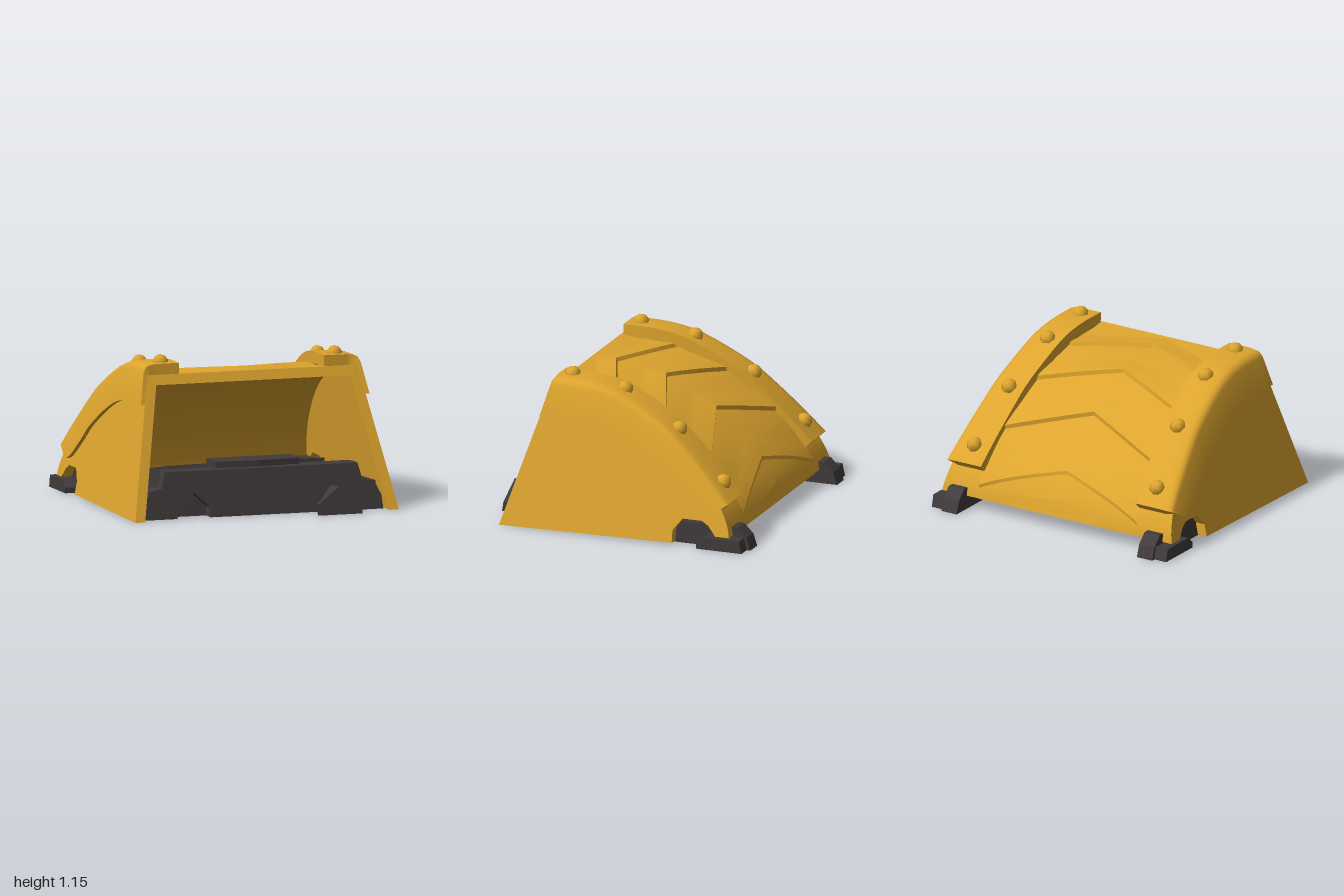
import * as THREE from 'three';
import { toCreasedNormals } from 'three/addons/utils/BufferGeometryUtils.js';

export function createModel() {
  const model = new THREE.Group();
  model.name = 'armouredCanopy';
  const yellow = new THREE.MeshStandardMaterial({ color: 0xdea52e });
  yellow.name = 'yellowPaint';
  const yellowThin = new THREE.MeshStandardMaterial({ color: 0xdea52e, side: THREE.DoubleSide });
  yellowThin.name = 'yellowPaint';
  const dark = new THREE.MeshStandardMaterial({ color: 0x413b3c });
  dark.name = 'darkMetal';

  const add = (name, geo, mat, parent = model) => {
    const m = new THREE.Mesh(geo, mat);
    m.name = name;
    parent.add(m);
    return m;
  };
  const shapeOf = pts => new THREE.Shape(pts.map(p => new THREE.Vector2(p[0], p[1])));
  const extrude = (pts, depth) => new THREE.ExtrudeGeometry(shapeOf(pts), { depth, bevelEnabled: false });
  const warp = (geo, rule) => {
    const p = geo.attributes.position, v = new THREE.Vector3();
    for (let i = 0; i < p.count; i++) {
      rule(v.fromBufferAttribute(p, i));
      p.setXYZ(i, v.x, v.y, v.z);
    }
    return toCreasedNormals(geo, 0.5);
  };
  // (z, y) outline extruded along x from 0 to depth
  const sideExtrude = (pts, depth) => extrude(pts.map(p => [-p[0], p[1]]), depth).rotateY(Math.PI / 2);
  const spline = (pts, n) =>
    new THREE.SplineCurve(pts.map(p => new THREE.Vector2(p[0], p[1]))).getPoints(n);
  // height and outward normal of a (z, y) polyline at a given z
  const sample = (line, z) => {
    let i = 0;
    while (i < line.length - 2 && line[i + 1].x > z) i++;
    const a = line[i], b = line[i + 1], t = (a.x - z) / (a.x - b.x);
    const n = new THREE.Vector2(b.y - a.y, a.x - b.x).normalize();
    return { y: a.y + (b.y - a.y) * t, nz: -n.x * -1, ny: n.y };
  };
  // grid surface through rows of points; optionally a closed tube with paired end caps
  const loft = (rows, crease, closed = false, flip = false) => {
    const n = rows[0].length, idx = [];
    const quad = (a, b, c, d) => flip ? idx.push(a, c, b, a, d, c) : idx.push(a, b, c, a, c, d);
    for (let i = 0; i < rows.length - 1; i++)
      for (let j = 0; j < (closed ? n : n - 1); j++) {
        const k = (j + 1) % n;
        quad(i * n + j, i * n + k, (i + 1) * n + k, (i + 1) * n + j);
      }
    if (closed) {
      const e = (rows.length - 1) * n;
      for (let k = 0; k < n / 2 - 1; k++) {
        quad(k, n - 1 - k, n - 2 - k, k + 1);
        quad(e + k, e + k + 1, e + n - 2 - k, e + n - 1 - k);
      }
    }
    const g = new THREE.BufferGeometry();
    g.setAttribute('position', new THREE.Float32BufferAttribute(rows.flat(2), 3));
    g.setIndex(idx);
    return toCreasedNormals(g, crease);
  };

  // Roof slab, narrowing with height
  const roofLine = spline([[0.58, 1.013], [0.4, 0.99], [0.2, 0.965], [0, 0.918], [-0.2, 0.828], [-0.4, 0.698],
    [-0.6, 0.53], [-0.72, 0.395], [-0.8, 0.28], [-0.85, 0.17], [-0.865, 0.1]], 40);
  const outer = roofLine.map(p => [p.x, p.y]);
  const inner = outer.map(([z, y]) => {
    const s = sample(roofLine, z);
    return z > 0.5 ? [z + 0.025, y - 0.07] : [z - s.nz * 0.06, y - s.ny * 0.06];
  }).reverse();
  add('roof', warp(sideExtrude([...outer, ...inner], 2), v => {
    v.x = (v.x - 1) * (0.96 - 0.2 * v.y);
  }), yellow);

  // Chevron ridges: shallow ramps that end in a sharp step toward the back
  const innerX = z => 0.55 + 0.11 * ((0.56 - z) / 1.41) ** 2;
  const ridge = [[0.575, 0.575, 0], [0.55, 0.33, 0], [0.4, 0.17, 1], [0.385, 0.155, 0], [0.17, -0.05, 0],
    [0.02, -0.21, 1], [0.005, -0.225, 0], [-0.21, -0.39, 0], [-0.36, -0.57, 1], [-0.374, -0.584, 0],
    [-0.58, -0.78, 0], [-0.715, -0.84, 0.5], [-0.73, -0.848, 0], [-0.865, -0.865, 0]];
  const rows = [];
  for (let r = 0; r < ridge.length - 1; r++)
    for (let s = 0; s < 4; s++)
      rows.push(ridge[r].map((v, k) => v + (ridge[r + 1][k] - v) * s / 4));
  rows.push(ridge[ridge.length - 1]);
  add('chevronRidges', loft(rows.map(([apex, side, h]) => {
    const row = [];
    for (let j = -8; j <= 8; j++) {
      const z = apex + (side - apex) * Math.abs(j) / 8, s = sample(roofLine, z), o = 0.004 + 0.026 * h;
      row.push([(innerX(z) + 0.015) * j / 8, s.y + s.ny * o, z + s.nz * o]);
    }
    return row;
  }), 0.17), yellowThin);

  // Side walls, leaning inward, with a notch above the rear foot
  const wall = [[0.9, 0], ...outer, [-0.76, 0.1], [-0.7, 0.17], [-0.65, 0.2], [-0.5, 0.2], [-0.43, 0.11], [-0.43, 0.02]];
  for (const side of [1, -1])
    add(side > 0 ? 'leftWall' : 'rightWall', warp(sideExtrude(wall, 0.075), v => {
      v.x = side > 0 ? 0.925 + v.x - 0.2 * v.y : -1 + v.x + 0.2 * v.y;
    }), yellow);

  // Curved edge bands wrapping from the roof onto the walls
  const top = spline([[0.56, 1.09], [0.3, 1.085], [0.05, 1.03], [-0.3, 0.85], [-0.5, 0.69], [-0.7, 0.5], [-0.85, 0.34]], 24);
  const low = spline([[0.64, 0.81], [0.25, 0.79], [0, 0.715], [-0.3, 0.54], [-0.45, 0.4], [-0.6, 0.275], [-0.69, 0.245]], 24);
  const bandRing = (p, q, side) => {
    const s = sample(top, p.x - 1e-4), xi = innerX(p.x);
    const at = (t, inset, sink) => {
      const z = p.x + (q.x - p.x) * t - s.nz * sink, y = p.y + (q.y - p.y) * t - s.ny * sink;
      return [1.03 - 0.2 * y - inset, y, z];
    };
    const edge = sink => [xi, p.y - s.ny * sink, p.x - s.nz * sink];
    return [edge(0), at(0, 0.09, 0), at(0, 0.04, 0.008), at(0.07, 0.012, 0), at(0.2, 0, 0), at(1, 0, 0),
      at(1, 0.045, 0), at(0.25, 0.045, 0.03), at(0.15, 0.06, 0.045), at(0, 0.08, 0.08), at(0, 0.11, 0.09), edge(0.09)]
      .map(([x, y, z]) => [x * side, y, z]);
  };
  for (const side of [1, -1]) {
    const name = side > 0 ? 'left' : 'right';
    add(name + 'Band', loft(top.map((p, i) => bandRing(p, low[i], side)), 0.9, true, side < 0), yellow);
    // Domed rivets
    for (const [x, z] of [[0.66, 0.465], [0.675, 0.055], [0.72, -0.38], [0.78, -0.745]]) {
      const s = sample(top, z);
      add(name + 'Rivet', new THREE.SphereGeometry(0.06, 7, 5), yellow).position.set(side * x, s.y - s.ny * 0.005, z);
    }
    // Rear rails, feet and floor flanks
    const block = (label, a, b, pts) =>
      add(name + label, sideExtrude(pts, b - a).translate(side > 0 ? a : -b, 0, 0), dark);
    block('RearRail', 0.77, 0.9, [[-0.3, 0], [-0.3, 0.16], [-0.9, 0.16], [-0.97, 0.09], [-1, 0]]);
    block('RearFoot', 0.9, 1, [[-0.62, 0], [-0.62, 0.04], [-0.68, 0.09], [-0.95, 0.09], [-0.97, 0]]);
    block('FloorFlank', 0.72, 0.87, [[0.76, 0], [0.76, 0.2], [-0.3, 0.16], [-0.36, 0]]);
  }

  // Floor: slanted front sill with a notch, sloped deck and raised centre
  const half = [[0.91, 0], [0.9, 0.1], [0.85, 0.2], [0.76, 0.22], [0.73, 0.335]];
  const sill = [...half, ...half.map(([x, y]) => [-x, y]).reverse(),
    [-0.65, 0], [-0.65, 0.07], [-0.52, 0.18], [-0.4, 0.07], [-0.4, 0]];
  add('frontSill', warp(extrude(sill, 0.1), v => { v.z += 0.72 - 0.14 * v.y; }), dark);
  add('floorDeck', sideExtrude([[0.72, 0], [0.68, 0.33], [0.6, 0.33], [-0.36, 0.15], [-0.36, 0]], 1.46)
    .translate(-0.73, 0, 0), dark);
  add('centreBlock', extrude([[-0.32, -0.69], [0, -0.72], [0.32, -0.69], [0.32, -0.5], [-0.32, -0.5]], 0.13)
    .rotateX(-Math.PI / 2).translate(0, 0.25, 0), dark);
  const ribs = new THREE.Group();
  ribs.name = 'floorRibs';
  ribs.position.set(0, 0.33, 0.6);
  ribs.rotation.x = -0.185;
  model.add(ribs);
  for (let i = 0; i < 3; i++)
    add('floorRib', extrude([[-0.6, 0.17], [0, 0.07], [0.6, 0.17], [0.6, 0.28], [0, 0.18], [-0.6, 0.28]], 0.035)
      .rotateX(-Math.PI / 2).translate(0, -0.005, -0.27 * i), dark, ribs);

  // Flared wedge at the front
  add('frontWedge', warp(extrude([[-0.17, 0], [0.17, 0], [0.17, 0.07], [0, 0.2], [-0.17, 0.07]], 0.22), v => {
    const t = v.z / 0.22;
    v.x = 0.52 + v.x * (0.55 + 0.45 * t);
    v.z = 0.78 + v.z - 0.15 * v.y * t;
    v.y *= 0.92 + 0.08 * t;
  }), dark);

  return model;
}
